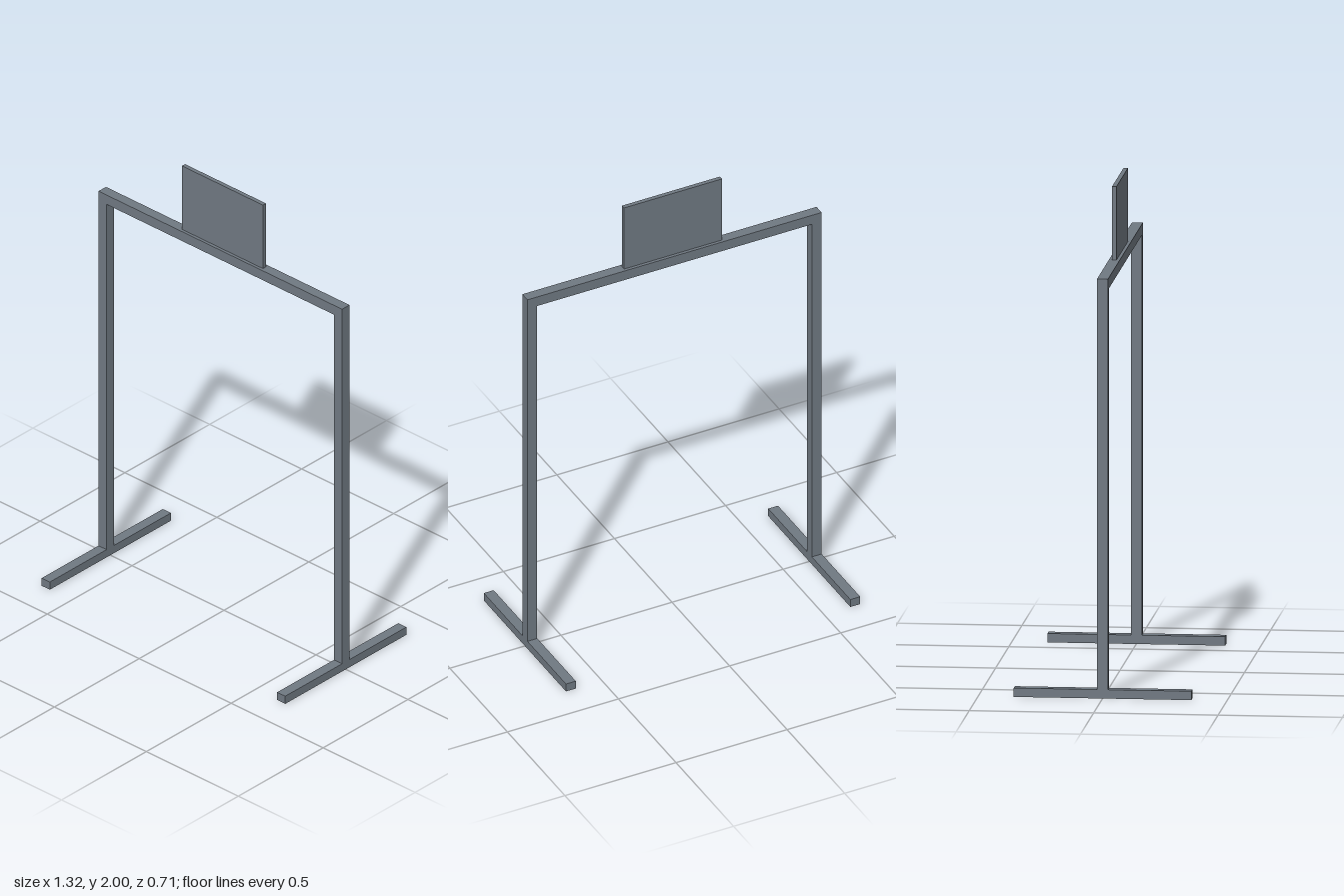
import * as THREE from 'three';

export function createModel() {
  const model = new THREE.Group();
  model.name = 'signStand';
  const steel = new THREE.MeshStandardMaterial({ color: 0x707982 });
  steel.name = 'steel grey';

  // Box standing on height y, centred on z = 0
  const addBox = (name, width, height, depth, x, y) => {
    const mesh = new THREE.Mesh(new THREE.BoxGeometry(width, height, depth), steel);
    mesh.name = name;
    mesh.position.set(x, y + height / 2, 0);
    model.add(mesh);
  };

  const tube = 0.044;
  const halfWidth = 0.662;
  const footHeight = 0.036;
  const beamTop = 1.702;
  const beamBottom = beamTop - tube;

  // Feet and posts, mirrored
  for (const [label, side] of [['left', 1], ['right', -1]]) {
    const x = side * (halfWidth - tube / 2);
    addBox(`${label}Foot`, tube, footHeight, 0.714, x, 0);
    addBox(`${label}Post`, tube, beamBottom - footHeight, tube, x, footHeight);
  }

  // Crossbar and the sign panel on top
  addBox('crossbar', halfWidth * 2, tube, tube, 0, beamBottom);
  addBox('signPanel', 0.44, 2 - beamTop, 0.018, 0, beamTop);

  return model;
}
